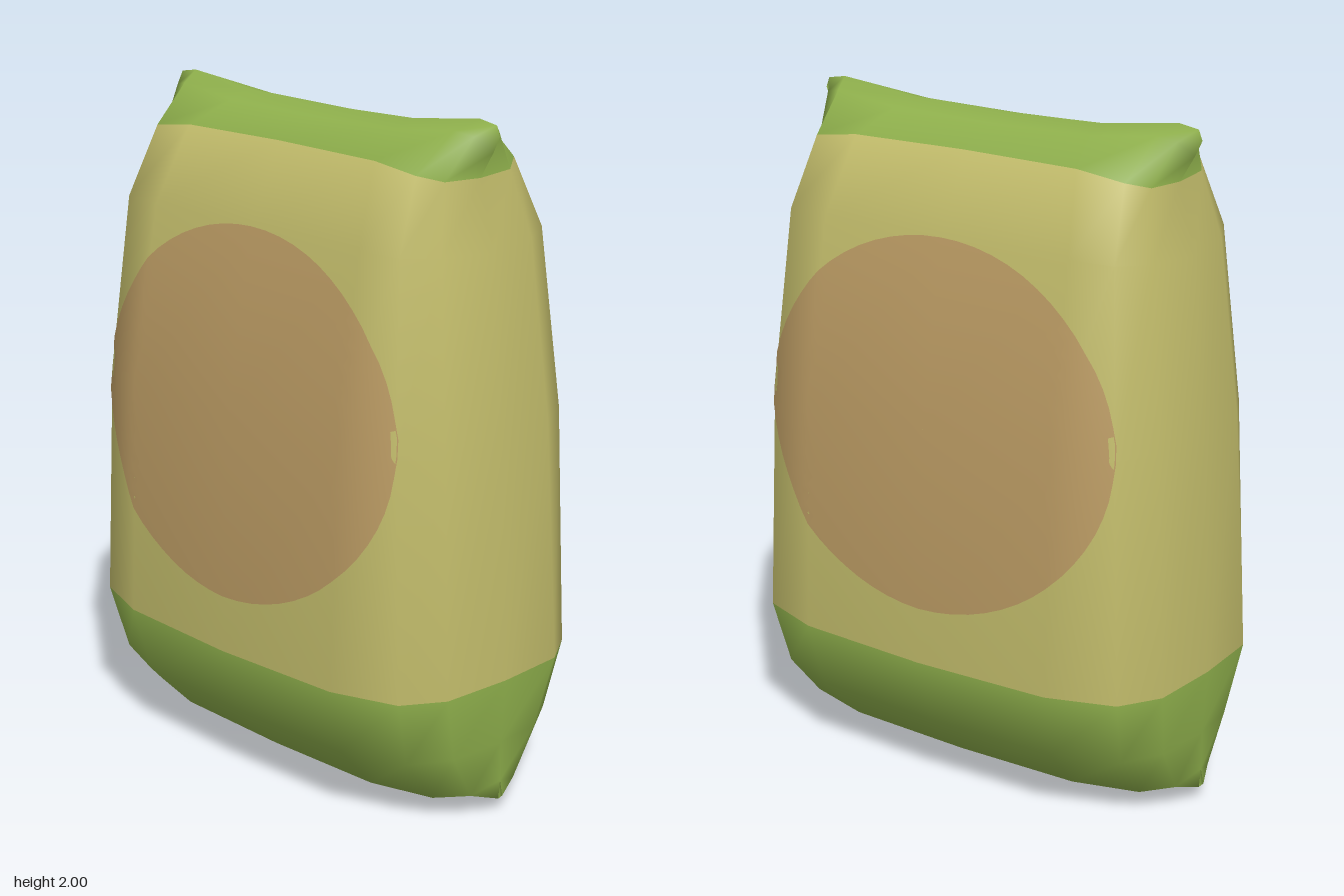
import * as THREE from 'three';
import { mergeVertices } from 'three/addons/utils/BufferGeometryUtils.js';

const paint = (name, color) => {
  const m = new THREE.MeshStandardMaterial({ color });
  m.name = name;
  return m;
};

// Quarter outlines [x, y, z] from the front middle round to the left side, listed bottom to top
const ROWS = [
  [[0, 0, 0], [0.4, 0.01, 0], [0.58, 0.02, 0], [0.7, 0.04, 0], [0.715, 0.055, 0]],
  [[0, 0.055, 0.225], [0.4, 0.06, 0.22], [0.6, 0.065, 0.17], [0.675, 0.07, 0.09], [0.705, 0.1, 0]],
  [[0, 0.21, 0.375], [0.42, 0.21, 0.36], [0.61, 0.21, 0.29], [0.68, 0.21, 0.17], [0.705, 0.22, 0]],
  [[0, 0.415, 0.435], [0.43, 0.415, 0.415], [0.63, 0.415, 0.345], [0.705, 0.415, 0.225], [0.718, 0.415, 0]],
  [[0, 1.13, 0.395], [0.43, 1.13, 0.385], [0.6, 1.13, 0.335], [0.667, 1.13, 0.21], [0.684, 1.13, 0]],
  [[0, 1.66, 0.3], [0.42, 1.66, 0.298], [0.56, 1.66, 0.285], [0.615, 1.65, 0.18], [0.638, 1.64, 0]],
  [[0, 1.89, 0.2], [0.38, 1.885, 0.2], [0.53, 1.865, 0.195], [0.575, 1.845, 0.13], [0.585, 1.84, 0]],
  [[0, 1.945, 0.08], [0.33, 1.95, 0.08], [0.55, 1.972, 0.07], [0.605, 1.96, 0.05], [0.63, 1.915, 0]],
  [[0, 1.963, 0], [0.33, 1.97, 0], [0.58, 2, 0], [0.64, 1.99, 0], [0.652, 1.96, 0]],
];
const SIDES = 16;

// Mirror a quarter outline into a closed ring of 16 points
function ring(quarter) {
  return Array.from({ length: SIDES }, (_, k) => {
    const half = k % 8;
    const [x, y, z] = quarter[half <= 4 ? half : 8 - half];
    // the first half runs front to back on +x, the second back to front on -x
    const first = k < 8;
    const back = first ? half > 4 : half <= 4;
    return [first ? x : -x, y, back ? -z : z];
  });
}

// Closed pillow bag, with colour groups for the base, the sides and the top seal
function bagGeometry() {
  const index = [];
  for (let i = 0; i < ROWS.length - 1; i++) {
    for (let k = 0; k < SIDES; k++) {
      const a = i * SIDES + k;
      const b = i * SIDES + ((k + 1) % SIDES);
      index.push(a, b, b + SIDES, a, b + SIDES, a + SIDES);
    }
  }
  let geo = new THREE.BufferGeometry();
  geo.setAttribute('position', new THREE.Float32BufferAttribute(ROWS.flatMap(ring).flat(), 3));
  geo.setIndex(index);
  geo = mergeVertices(geo, 1e-4); // weld both seams
  geo.computeVertexNormals();
  const perRow = SIDES * 6;
  geo.addGroup(0, 3 * perRow, 0);
  geo.addGroup(3 * perRow, 3 * perRow, 1);
  geo.addGroup(6 * perRow, 2 * perRow, 0);
  return geo;
}

// Oval label draped over the front of the bag
function labelGeometry(bag) {
  const geo = new THREE.RingGeometry(0.001, 1, 64, 14);
  geo.scale(0.605, 0.538, 1);
  geo.translate(0, 1.122, 0);
  const pos = geo.attributes.position;
  const nor = geo.attributes.normal;
  const ray = new THREE.Raycaster();
  const from = new THREE.Vector3();
  const dir = new THREE.Vector3(0, 0, -1);
  for (let i = 0; i < pos.count; i++) {
    from.set(pos.getX(i), pos.getY(i), 2);
    ray.set(from, dir);
    const hit = ray.intersectObject(bag)[0];
    if (!hit) continue;
    pos.setZ(i, hit.point.z + 0.005);
    nor.setXYZ(i, hit.normal.x, hit.normal.y, hit.normal.z);
  }
  return geo;
}

export function createModel() {
  const group = new THREE.Group();
  group.name = 'paperBag';
  const green = paint('leafGreen', 0x8fb04c);
  const straw = paint('strawYellow', 0xc4be6c);
  const tan = paint('labelTan', 0xbc9c64);

  const bag = new THREE.Mesh(bagGeometry(), [green, straw]);
  bag.name = 'bag';
  group.add(bag);

  const frontLabel = new THREE.Mesh(labelGeometry(bag), tan);
  frontLabel.name = 'frontLabel';
  const backLabel = frontLabel.clone();
  backLabel.name = 'backLabel';
  backLabel.rotation.y = Math.PI;
  group.add(frontLabel, backLabel);
  return group;
}
